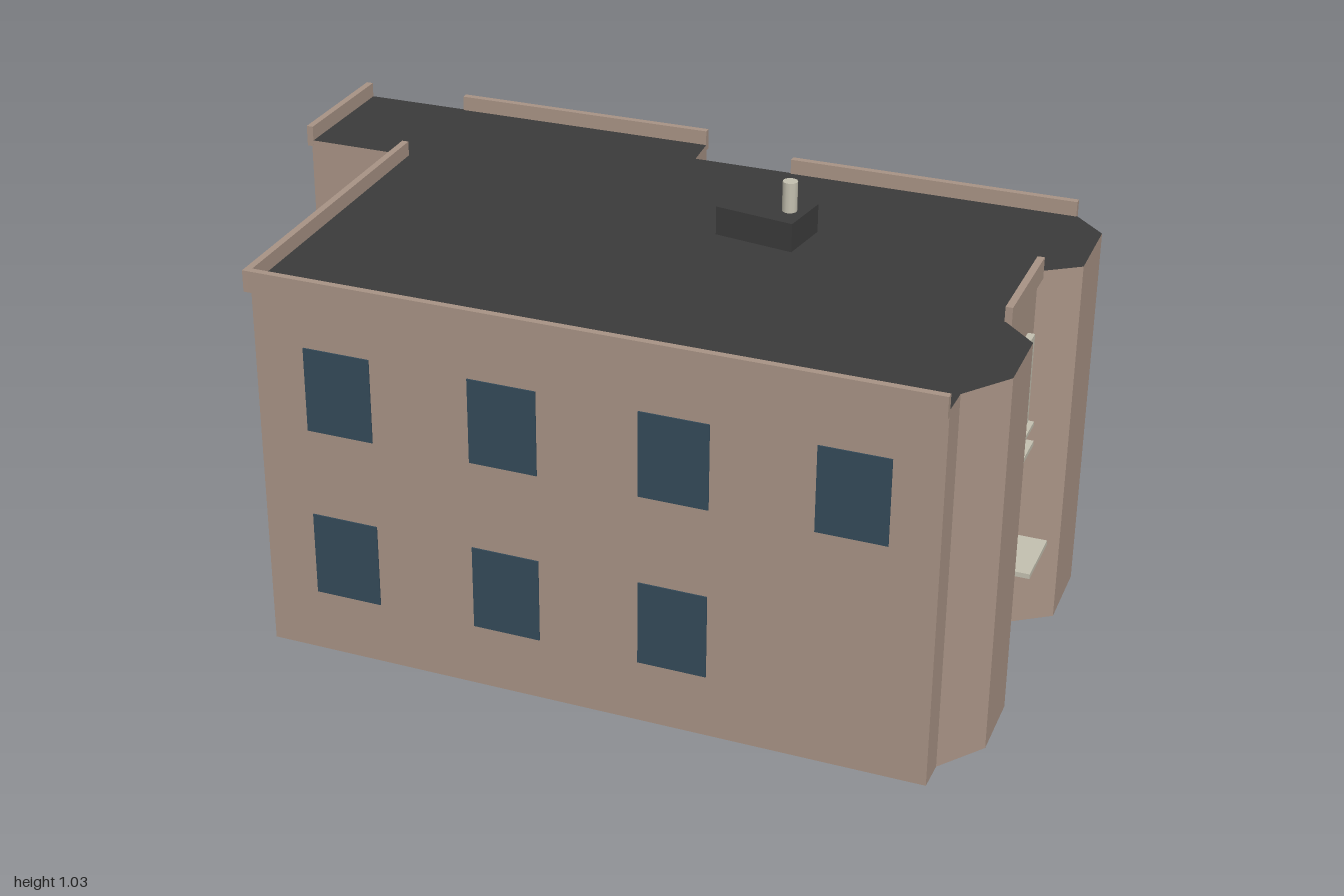
import * as THREE from 'three';

const mat = (name, color) => new THREE.MeshStandardMaterial({ name, color });

export function createModel() {
  const wall = mat('tan wall', 0xa89385);
  const roof = mat('dark roof', 0x3b3b3b);
  const glass = mat('blue glass', 0x344a59);
  const trim = mat('pale trim', 0xc4c0b0);

  const model = new THREE.Group();
  model.name = 'building';
  const H = 0.89;

  // Footprint corners (x, z), counterclockwise seen from above
  const P = {
    A: [-0.988, -0.41], B: [-0.943, -0.1], C: [-0.693, -0.14], D: [-0.573, 0.615],
    E: [0.945, 0.383], F: [0.935, 0.31], G: [0.997, 0.195], H: [0.97, 0.03],
    I: [0.885, -0.03], J: [0.845, -0.295], K: [0.92, -0.367], L: [0.89, -0.55],
    M: [0.805, -0.612], N: [-0.095, -0.467], O: [-0.115, -0.557],
  };

  // Main block: dark caps, tan sides
  const outline = new THREE.Shape(Object.values(P).map(([x, z]) => new THREE.Vector2(x, -z)));
  const body = new THREE.ExtrudeGeometry(outline, { depth: H, bevelEnabled: false });
  body.rotateX(-Math.PI / 2);
  const block = new THREE.Mesh(body, [roof, wall]);
  block.name = 'mainBlock';
  model.add(block);

  // Group on one wall: local x runs along it, local z points outward
  function face(name, from, to) {
    const [x0, z0] = P[from], [x1, z1] = P[to];
    const g = new THREE.Group();
    g.name = name;
    g.position.set(x0, 0, z0);
    g.rotation.y = Math.atan2(z0 - z1, x1 - x0);
    g.userData.length = Math.hypot(x1 - x0, z1 - z0);
    model.add(g);
    return g;
  }

  // Box given by its ranges on each axis
  function box(parent, name, material, x0, x1, y0, y1, z0, z1) {
    const m = new THREE.Mesh(new THREE.BoxGeometry(x1 - x0, y1 - y0, z1 - z0), material);
    m.name = name;
    m.position.set((x0 + x1) / 2, (y0 + y1) / 2, (z0 + z1) / 2);
    parent.add(m);
  }

  const floors = [0.15, 0.56];
  const pane = (g, s, y) => box(g, 'window', glass, s - 0.078, s + 0.078, y, y + 0.2, -0.001, 0.003);
  const parapet = (g, s0, s1) => box(g, 'parapet', wall, s0, s1, 0.875, 0.925, -0.004, 0.012);

  // Front wall: four windows above, three below
  const front = face('frontWall', 'D', 'E');
  parapet(front, -0.012, front.userData.length);
  for (let i = 0; i < 4; i++) {
    floors.forEach((y, floor) => {
      if (i < 3 || floor === 1) pane(front, 0.195 + i * 0.385, y);
    });
  }

  // Walls on the model's right side
  const side = face('sideWall', 'C', 'D');
  parapet(side, 0, side.userData.length + 0.012);
  const wing = face('wingEndWall', 'A', 'B');
  parapet(wing, 0, wing.userData.length);
  for (const y of floors) {
    for (const t of [0.25, 0.75]) pane(side, side.userData.length * t, y);
    pane(wing, wing.userData.length * 0.5, y);
  }

  // Back walls with partial parapets
  const back = face('backWall', 'M', 'N');
  parapet(back, 0, back.userData.length * 0.74);
  pane(back, back.userData.length * 0.375, floors[1]);
  const wingBack = face('wingBackWall', 'O', 'A');
  parapet(wingBack, 0, wingBack.userData.length * 0.715);
  for (const y of floors) pane(wingBack, wingBack.userData.length * 0.355, y);

  // Recessed bay between the two angled projections
  const bay = face('bayWall', 'I', 'J');
  const len = bay.userData.length;
  parapet(bay, 0, len);
  box(bay, 'ledge', trim, 0, len, 0.467, 0.479, 0, 0.02);
  box(bay, 'shelf', trim, 0.105, 0.262, 0.224, 0.236, 0, 0.07);
  box(bay, 'smallWindow', glass, 0.142, 0.212, 0.315, 0.45, -0.001, 0.003);

  // Framed sash window
  const c = 0.134;
  for (const s of [-1, 1]) {
    box(bay, 'windowJamb', trim, c + s * 0.072 - 0.007, c + s * 0.072 + 0.007, 0.553, 0.768, 0, 0.016);
  }
  box(bay, 'windowHead', trim, c - 0.065, c + 0.065, 0.755, 0.768, 0, 0.016);
  box(bay, 'windowSill', trim, c - 0.084, c + 0.084, 0.544, 0.554, 0, 0.028);
  box(bay, 'windowMullion', trim, c - 0.004, c + 0.004, 0.554, 0.755, 0, 0.01);
  box(bay, 'windowRail', trim, c - 0.065, c + 0.065, 0.656, 0.664, 0, 0.01);
  box(bay, 'windowGlass', glass, c - 0.065, c + 0.065, 0.554, 0.642, -0.001, 0.004);

  // Roof box with vent pipe
  box(model, 'roofBox', roof, 0.155, 0.343, H - 0.005, 0.957, -0.238, -0.112);
  const pipe = new THREE.Mesh(new THREE.CylinderGeometry(0.017, 0.017, 0.08, 12), trim);
  pipe.name = 'ventPipe';
  pipe.position.set(0.304, 0.987, -0.175);
  model.add(pipe);

  return model;
}
